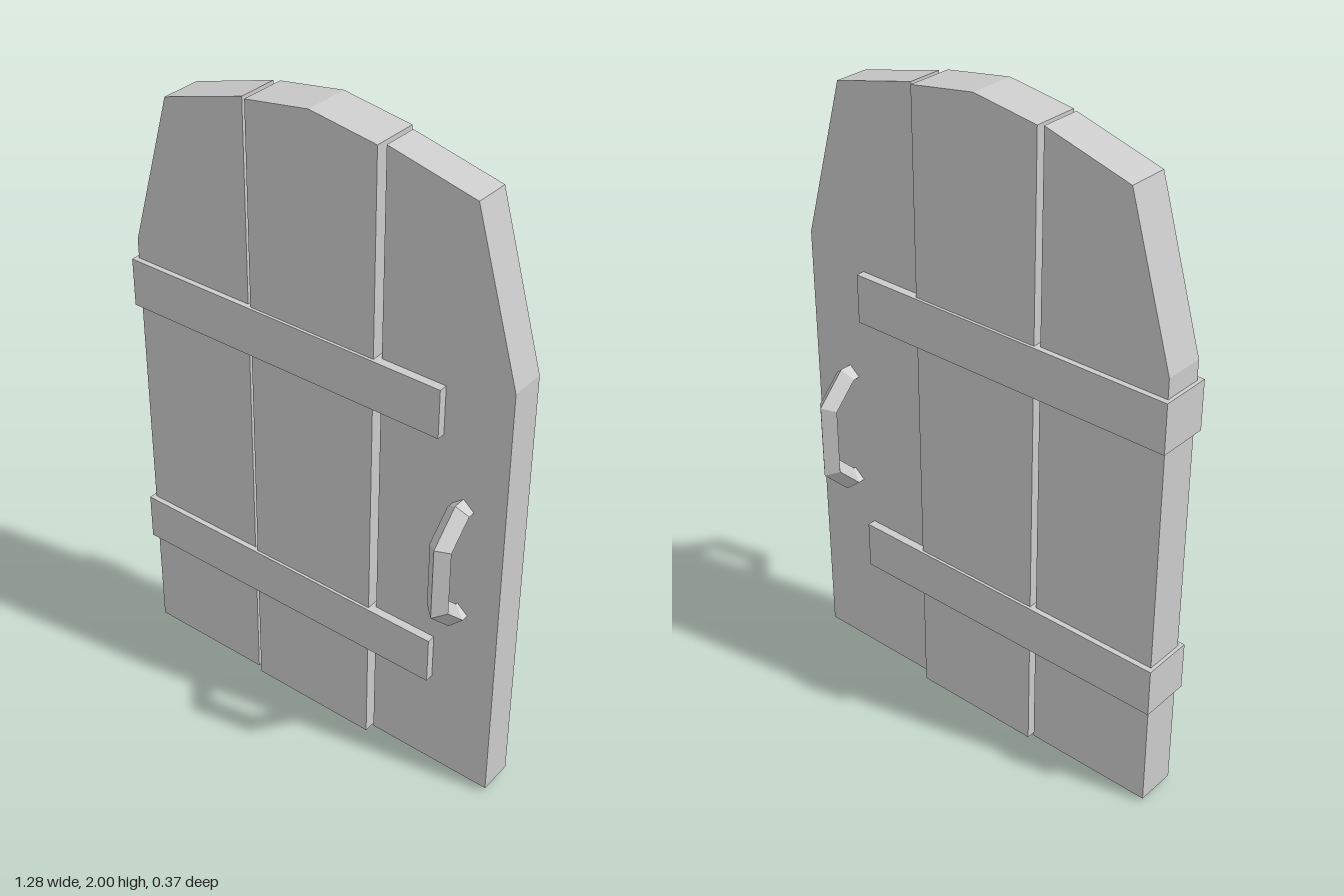
import * as THREE from 'three';

const material = new THREE.MeshStandardMaterial({ color: 0xcccccc, flatShading: true });

// Board cut from an outline in the x/y plane, centred on z = 0
function plank(name, outline, depth) {
  const shape = new THREE.Shape(outline.map(([x, y]) => new THREE.Vector2(x, y)));
  const geometry = new THREE.ExtrudeGeometry(shape, { depth, bevelEnabled: false });
  geometry.translate(0, 0, -depth / 2);
  const mesh = new THREE.Mesh(geometry, material);
  mesh.name = name;
  return mesh;
}

// Octagonal loop with a diamond section, standing in the z/y plane
function ringGeometry(halfWidth) {
  // Corner of the octagon given by its larger z and larger y points
  const octagon = (x, z1, y1, z2, y2) => [
    [z1, -y1], [z1, y1], [z2, y2], [-z2, y2],
    [-z1, y1], [-z1, -y1], [-z2, -y2], [z2, -y2],
  ].map(([z, y]) => [x, y, z]);
  const loops = [
    octagon(0, 0.183, 0.118, 0.092, 0.21),
    octagon(halfWidth, 0.1515, 0.105, 0.076, 0.181),
    octagon(0, 0.12, 0.092, 0.06, 0.152),
    octagon(-halfWidth, 0.1515, 0.105, 0.076, 0.181),
  ];
  const positions = [];
  for (let i = 0; i < 4; i++) {
    for (let k = 0; k < 8; k++) {
      const near = loops[i], far = loops[(i + 1) % 4], n = (k + 1) % 8;
      const a = near[k], b = near[n], c = far[n], d = far[k];
      positions.push(...a, ...d, ...c, ...a, ...c, ...b);
    }
  }
  const geometry = new THREE.BufferGeometry();
  geometry.setAttribute('position', new THREE.Float32BufferAttribute(positions, 3));
  geometry.computeVertexNormals();
  return geometry;
}

export function createModel() {
  const door = new THREE.Group();
  door.name = 'door';

  // Three upright planks forming the arched top, each a little different in thickness
  door.add(
    plank('rightPlank', [[-0.63, 0.01], [-0.222, 0.01], [-0.222, 1.968], [-0.492, 1.89], [-0.63, 1.417]], 0.126),
    plank('middlePlank', [[-0.207, 0], [0.212, 0], [0.212, 1.968], [0, 2], [-0.207, 1.968]], 0.142),
    plank('leftPlank', [[0.227, 0.016], [0.637, 0.016], [0.637, 1.417], [0.498, 1.904], [0.227, 1.967]], 0.108),
  );

  // Cross straps wrapping both faces
  for (const [name, y] of [['lowerStrap', 0.422], ['upperStrap', 1.28]]) {
    const strap = new THREE.Mesh(new THREE.BoxGeometry(1.072, 0.152, 0.16), material);
    strap.name = name;
    strap.position.set(-0.105, y, 0);
    door.add(strap);
  }

  // Handle loop passing through the plank, so it shows on front and back
  const handle = new THREE.Mesh(ringGeometry(0.035), material);
  handle.name = 'handle';
  handle.position.set(0.503, 0.816, 0);
  door.add(handle);

  return door;
}
